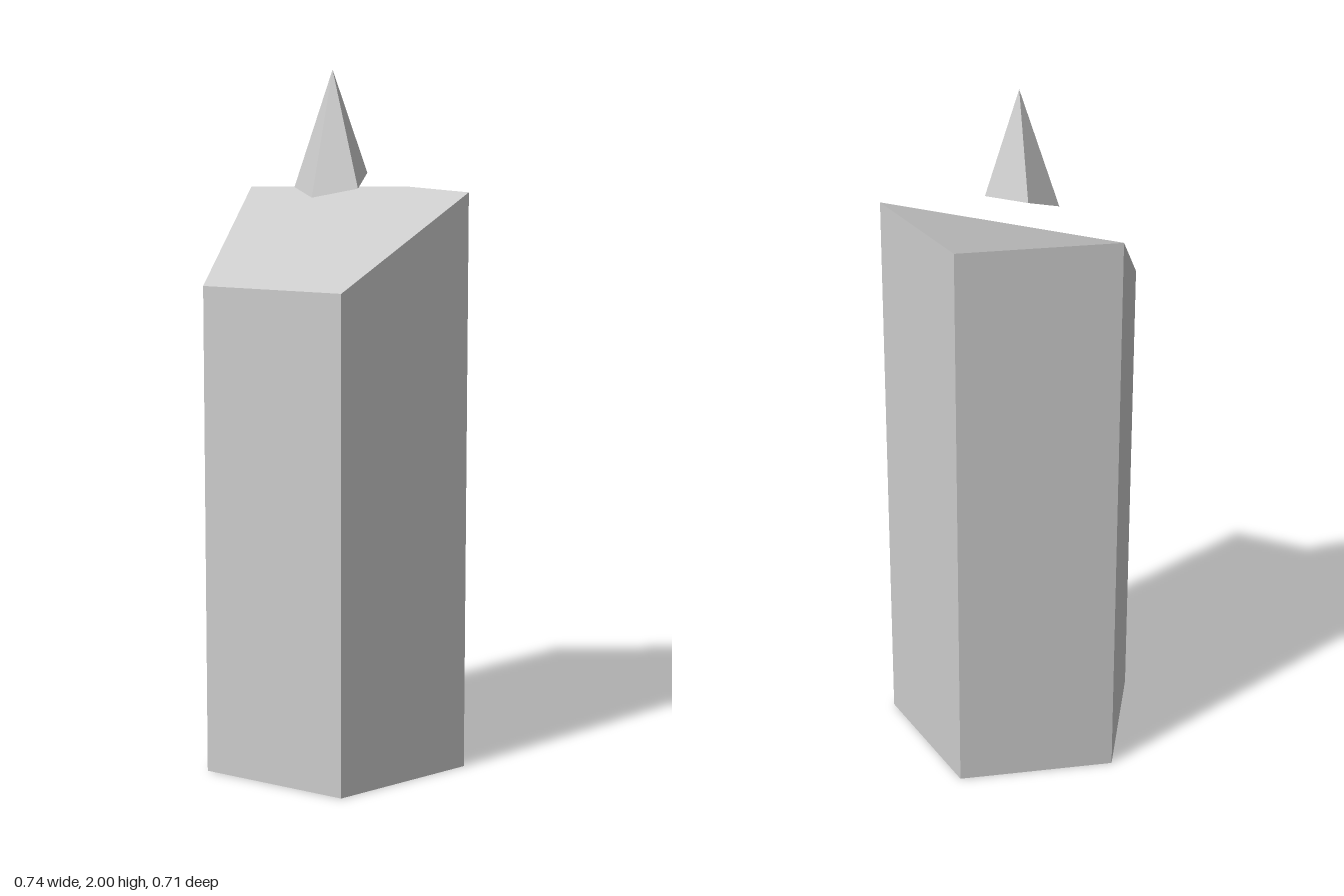
import * as THREE from 'three';

const v = (x, y, z) => new THREE.Vector3(x, y, z);

// Builds a mesh from polygons; each polygon is fanned and shares one averaged normal.
function polyMesh(name, faces) {
  const pos = [], nor = [];
  for (const f of faces) {
    const n = v(0, 0, 0), tris = [];
    for (let i = 1; i < f.length - 1; i++) {
      const a = f[i].clone().sub(f[0]), b = f[i + 1].clone().sub(f[0]);
      n.add(a.cross(b));
      tris.push(f[0], f[i], f[i + 1]);
    }
    n.normalize();
    for (const p of tris) {
      pos.push(p.x, p.y, p.z);
      nor.push(n.x, n.y, n.z);
    }
  }
  const geo = new THREE.BufferGeometry();
  geo.setAttribute('position', new THREE.Float32BufferAttribute(pos, 3));
  geo.setAttribute('normal', new THREE.Float32BufferAttribute(nor, 3));
  const mesh = new THREE.Mesh(geo, new THREE.MeshStandardMaterial({ color: 0xcccccc }));
  mesh.name = name;
  return mesh;
}

export function createModel() {
  const model = new THREE.Group();
  model.name = 'candle';

  // Five-sided wax body: flat at the back of the top, sloping down to the front edge
  const top = [
    v(0.371, 1.66, -0.084), v(0, 1.66, -0.354), v(-0.371, 1.66, -0.084),
    v(-0.229, 1.402, 0.354), v(0.229, 1.402, 0.354),
  ];
  const bottom = top.map(p => v(p.x, 0, p.z));
  const body = [top, [...bottom].reverse()];
  for (let i = 0; i < 5; i++) {
    const j = (i + 1) % 5;
    body.push([bottom[i], bottom[j], top[j], top[i]]);
  }
  model.add(polyMesh('waxBody', body));

  // Floating five-sided flame with a tilted base
  const tip = v(0, 2, 0.043);
  const base = [
    v(0.107, 1.67, 0.078), v(0.066, 1.71, -0.037), v(-0.066, 1.71, -0.037),
    v(-0.107, 1.67, 0.078), v(0, 1.645, 0.15),
  ];
  const flame = [[...base].reverse()];
  for (let i = 0; i < 5; i++) flame.push([base[i], base[(i + 1) % 5], tip]);
  model.add(polyMesh('flame', flame));

  return model;
}
